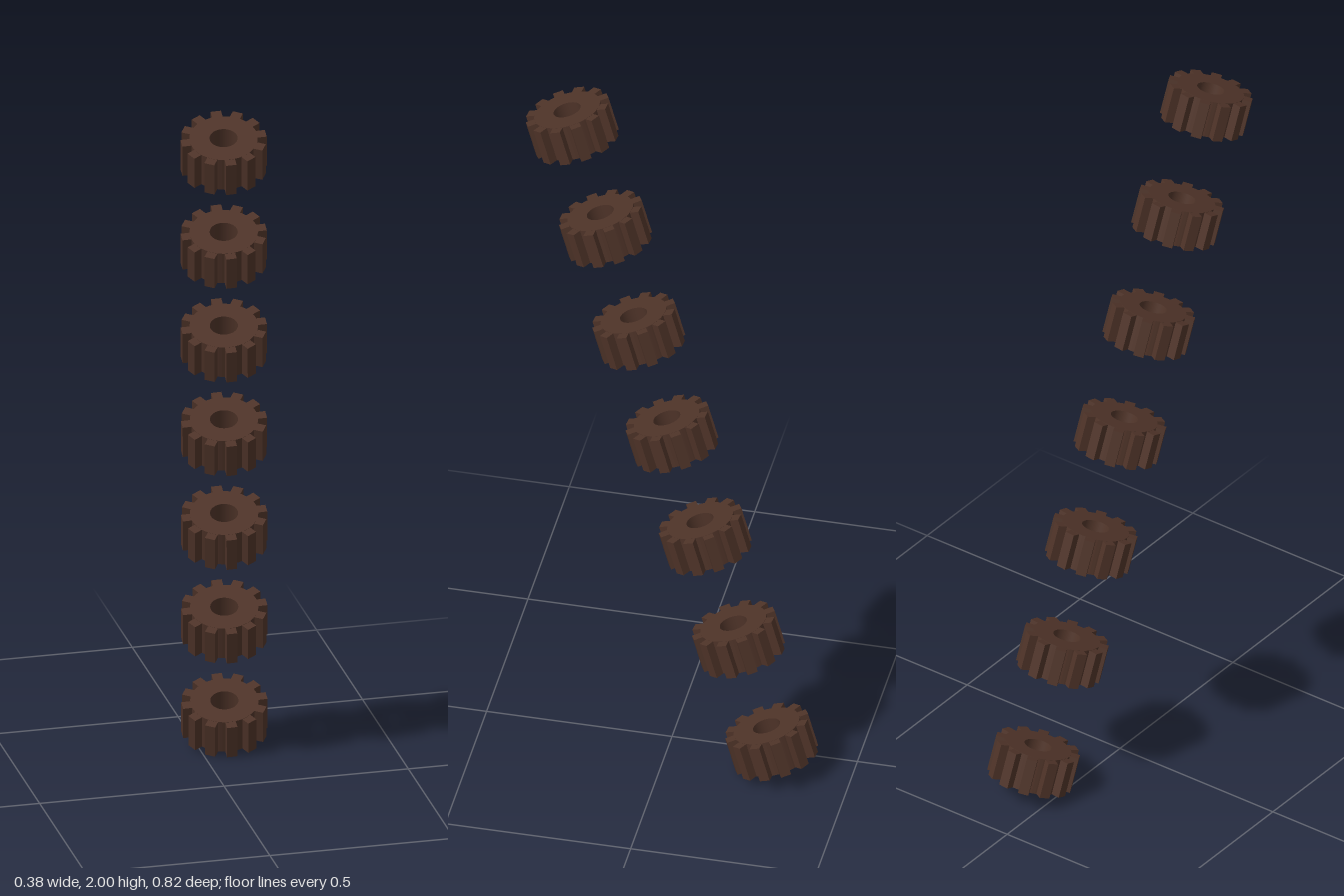
import * as THREE from 'three';

const GEARS = 7, TEETH = 12;
const BODY_R = 0.09, HOLE_R = 0.037, TIP_R = 0.113, BODY_H = 0.101, TOOTH_H = 0.1;

export function createModel() {
  const model = new THREE.Group();
  model.name = 'gearRow';
  const material = new THREE.MeshStandardMaterial({ color: 0x4e3328 });

  // Disc with a round bore, axis along y
  const ring = new THREE.Shape().absarc(0, 0, BODY_R, 0, Math.PI * 2, false);
  ring.holes.push(new THREE.Path().absarc(0, 0, HOLE_R, 0, Math.PI * 2, true));
  const bodyGeometry = new THREE.ExtrudeGeometry(ring, { depth: BODY_H, bevelEnabled: false, curveSegments: 32 });
  bodyGeometry.translate(0, 0, -BODY_H / 2).rotateX(-Math.PI / 2);

  // Square tooth, rooted slightly inside the disc
  const root = BODY_R - 0.006;
  const toothGeometry = new THREE.BoxGeometry(0.028, TOOTH_H, TIP_R - root);
  toothGeometry.translate(0, 0, (TIP_R + root) / 2);

  function makeGear() {
    const gear = new THREE.Group();
    gear.name = 'gear';
    const body = new THREE.Mesh(bodyGeometry, material);
    body.name = 'gearBody';
    gear.add(body);
    for (let i = 0; i < TEETH; i++) {
      const tooth = new THREE.Mesh(toothGeometry, material);
      tooth.name = 'gearTooth';
      tooth.rotation.y = (i / TEETH) * Math.PI * 2 - 0.06;
      gear.add(tooth);
    }
    return gear;
  }

  // Gears spaced evenly along one leaning axis
  const bottom = new THREE.Vector3(0.072, 0.082, -0.285);
  const top = new THREE.Vector3(-0.072, 1.918, 0.285);
  const axis = top.clone().sub(bottom).normalize();
  for (let i = 0; i < GEARS; i++) {
    const gear = makeGear();
    gear.position.lerpVectors(bottom, top, i / (GEARS - 1));
    gear.quaternion.setFromUnitVectors(new THREE.Vector3(0, 1, 0), axis);
    model.add(gear);
  }
  return model;
}
